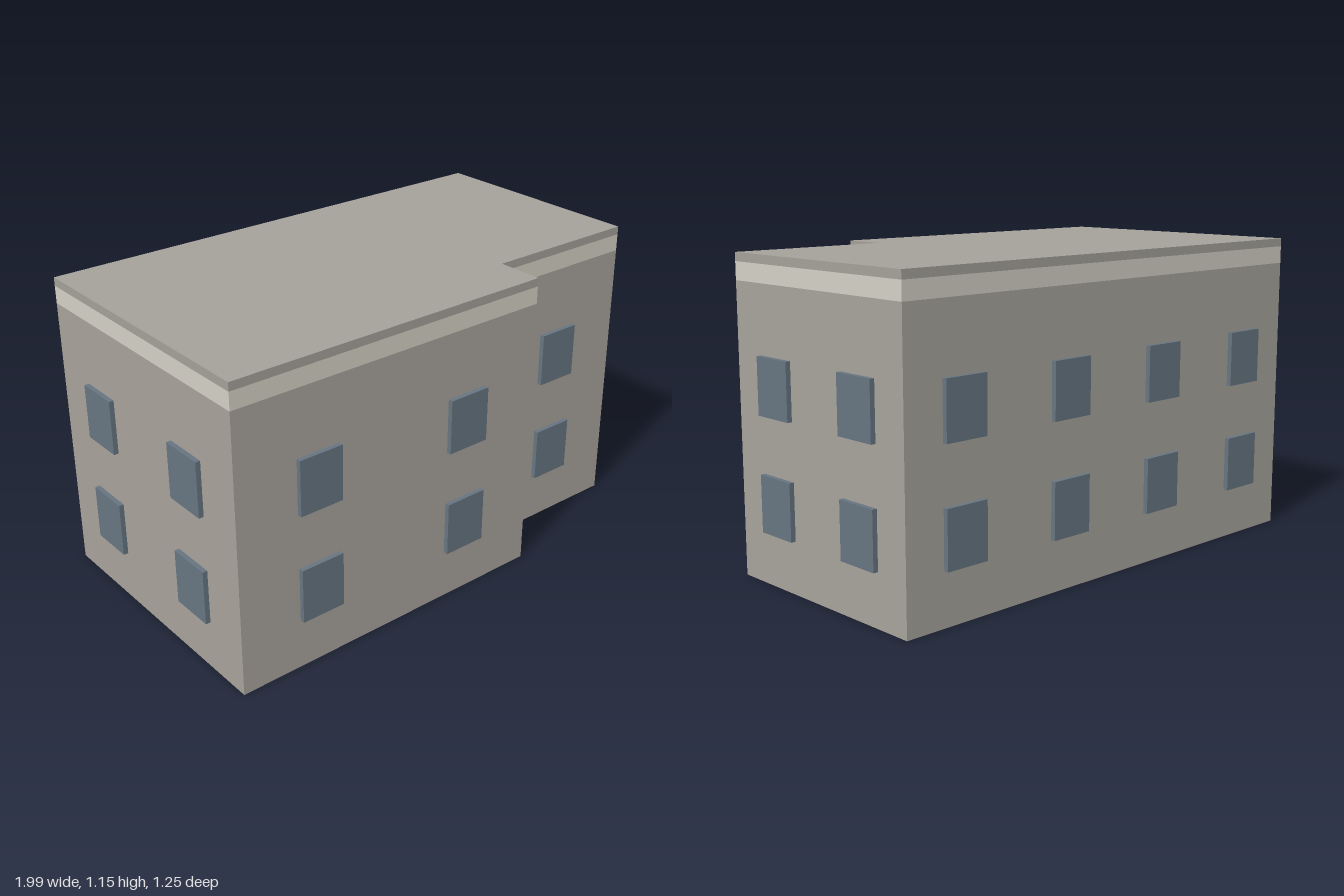
import * as THREE from 'three';

const wall = new THREE.MeshStandardMaterial({ color: 0xa8a49c });
wall.name = 'warm grey wall';
const trim = new THREE.MeshStandardMaterial({ color: 0xd5d1c6 });
trim.name = 'pale trim';
const roofing = new THREE.MeshStandardMaterial({ color: 0xa5a19a });
roofing.name = 'grey roof';
const glass = new THREE.MeshStandardMaterial({ color: 0x677581 });
glass.name = 'blue grey glass';

// Footprint corners (x, z) and the number of window columns on the wall that starts there
const corners = [
  { x: -0.998, z: -0.445, columns: 4 }, // back
  { x: 0.908, z: -0.622, columns: 2 },  // left side
  { x: 0.99, z: 0.267, columns: 1 },    // recessed front
  { x: 0.369, z: 0.325, columns: 0 },   // step
  { x: 0.385, z: 0.502, columns: 2 },   // main front
  { x: -0.9, z: 0.62, columns: 2 },     // right side
];
const floors = [0.292, 0.703];

// Horizontal slab with the shape of the footprint
function storey(name, bottom, top, material) {
  const shape = new THREE.Shape(corners.map((c) => new THREE.Vector2(c.x, -c.z)));
  const geometry = new THREE.ExtrudeGeometry(shape, { depth: top - bottom, bevelEnabled: false });
  geometry.rotateX(-Math.PI / 2).translate(0, bottom, 0);
  const mesh = new THREE.Mesh(geometry, material);
  mesh.name = name;
  return mesh;
}

export function createModel() {
  const model = new THREE.Group();
  model.name = 'building';
  model.add(
    storey('walls', 0, 1.05, wall),
    storey('corniceBand', 1.05, 1.115, trim),
    storey('roof', 1.115, 1.146, roofing),
  );

  // Windows, evenly spaced along each wall and standing slightly proud of it
  const windows = new THREE.Group();
  windows.name = 'windows';
  const pane = new THREE.BoxGeometry(0.17, 0.205, 0.036);
  corners.forEach((a, i) => {
    const b = corners[(i + 1) % corners.length];
    const dx = b.x - a.x, dz = b.z - a.z;
    for (let k = 0; k < a.columns; k++) {
      const t = (k + 0.5) / a.columns;
      for (const y of floors) {
        const mesh = new THREE.Mesh(pane, glass);
        mesh.name = 'window';
        mesh.position.set(a.x + dx * t, y, a.z + dz * t);
        mesh.rotation.y = Math.atan2(dz, -dx);
        windows.add(mesh);
      }
    }
  });
  model.add(windows);
  return model;
}
